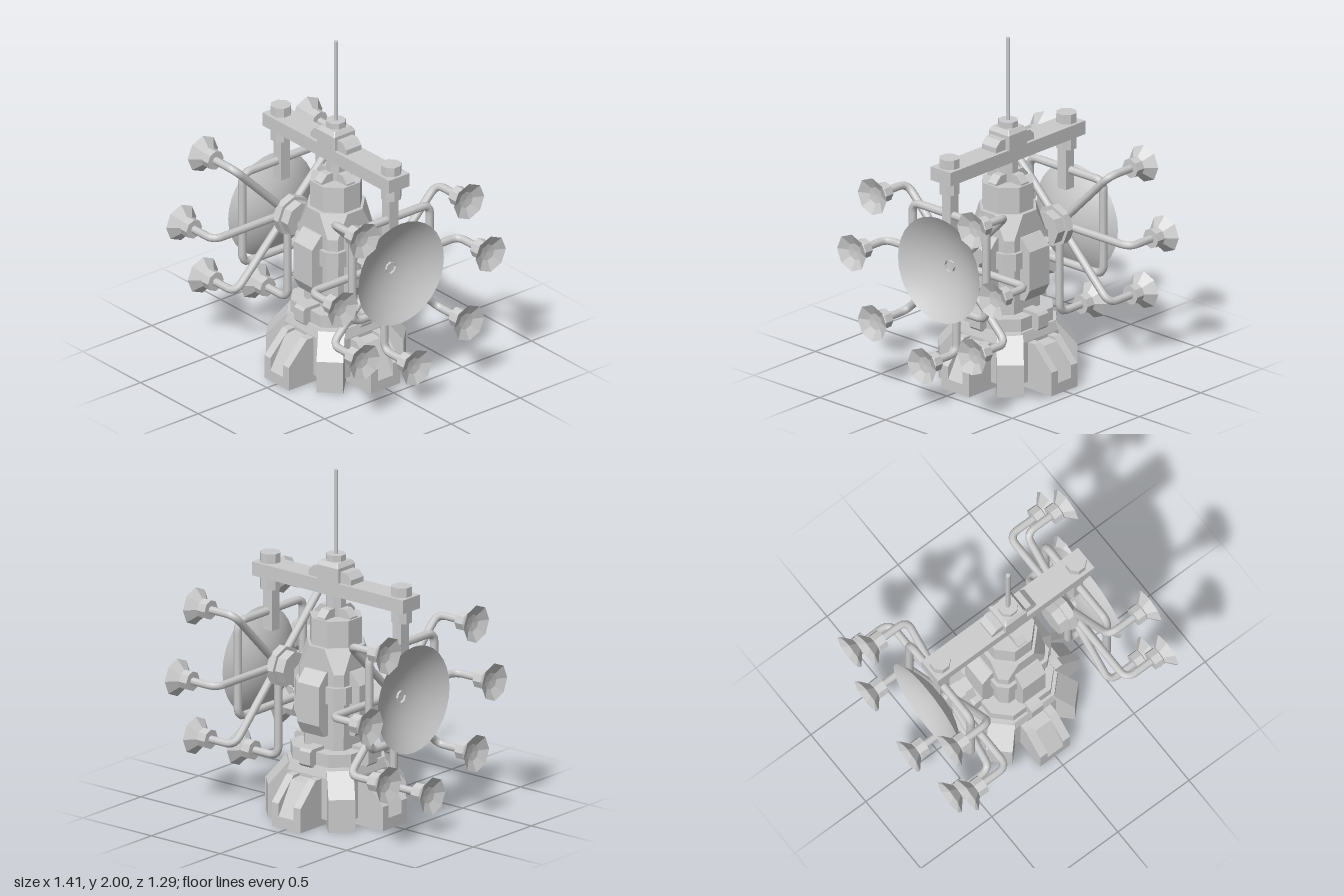
import * as THREE from 'three';

const flat = new THREE.MeshStandardMaterial({ color: 0xcccccc, flatShading: true, side: THREE.DoubleSide });
const smooth = new THREE.MeshStandardMaterial({ color: 0xcccccc, side: THREE.DoubleSide });
const V = (x, y, z) => new THREE.Vector3(x, y, z);

function add(parent, name, geometry, material = flat) {
  const mesh = new THREE.Mesh(geometry, material);
  mesh.name = name;
  parent.add(mesh);
  return mesh;
}

// Box given by its centre in x and z and its bottom and top
function box(parent, name, w, y0, y1, d, x = 0, z = 0) {
  return add(parent, name, new THREE.BoxGeometry(w, y1 - y0, d).translate(x, (y0 + y1) / 2, z));
}

// Upright octagonal drum with flats facing the axes
function drum(parent, name, r, y0, y1, x = 0, sides = 8) {
  const g = new THREE.CylinderGeometry(r, r, y1 - y0, sides).rotateY(Math.PI / sides);
  return add(parent, name, g.translate(x, (y0 + y1) / 2, 0));
}

// Side profile of [radius, height] points, extruded to a width and turned about y
function radial(parent, name, points, width, angle, offset = 0) {
  const shape = new THREE.Shape(points.map(p => new THREE.Vector2(p[0], p[1])));
  const g = new THREE.ExtrudeGeometry(shape, { depth: width, bevelEnabled: false });
  return add(parent, name, g.translate(0, 0, offset - width / 2).rotateY(angle));
}

// Stack of chamfered squares, each [height, half width, corner cut]
function chamferLoft(sections) {
  const rings = sections.map(([y, h, c]) => {
    const e = h - c;
    return [[h, -e], [h, e], [e, h], [-e, h], [-h, e], [-h, -e], [-e, -h], [e, -h]].map(p => V(p[0], y, p[1]));
  });
  const pts = [];
  const last = rings.length - 1;
  for (let j = 0; j < 8; j++) {
    const k = (j + 1) % 8;
    for (let i = 0; i < last; i++) {
      const a = rings[i][j], b = rings[i][k], c = rings[i + 1][j], d = rings[i + 1][k];
      pts.push(a, c, b, b, c, d);
    }
    pts.push(V(0, sections[0][0], 0), rings[0][j], rings[0][k]);
    pts.push(V(0, sections[last][0], 0), rings[last][k], rings[last][j]);
  }
  const g = new THREE.BufferGeometry().setFromPoints(pts);
  g.computeVertexNormals();
  return g;
}

// Polyline with rounded corners
function roundedPath(points, r, closed = false) {
  const path = new THREE.CurvePath();
  const n = points.length;
  const toward = (a, b) => a.clone().add(b.clone().sub(a).setLength(r));
  let from = closed ? toward(points[0], points[1]) : points[0];
  for (let i = 1; i < (closed ? n + 1 : n - 1); i++) {
    const p = points[i % n];
    const before = toward(p, points[(i - 1) % n]);
    const after = toward(p, points[(i + 1) % n]);
    path.add(new THREE.LineCurve3(from, before));
    path.add(new THREE.QuadraticBezierCurve3(before, p, after));
    from = after;
  }
  if (!closed) path.add(new THREE.LineCurve3(from, points[n - 1]));
  return path;
}

// Revolved [radius, x] profile around the x axis
function turned(points, sides) {
  return new THREE.LatheGeometry(points.map(p => new THREE.Vector2(p[0], p[1])), sides).rotateZ(-Math.PI / 2);
}

// One side array: hub, seven horn arms, dish and its frame (built on +x)
function sideArray() {
  const g = new THREE.Group();
  g.name = 'sideArray';
  const cy = 0.77;
  add(g, 'hubInner', turned([[0, 0.3], [0.1, 0.3], [0.1, 0.365], [0, 0.365]], 8)).position.y = cy;
  add(g, 'hubOuter', turned([[0, 0.36], [0.12, 0.36], [0.12, 0.41], [0.07, 0.44], [0, 0.44]], 8)).position.y = cy;
  add(g, 'dishAxle', turned([[0.035, 0.42], [0.035, 0.48]], 8)).position.y = cy;

  // Arms at every eighth of a turn except straight up
  for (let i = 0; i < 8; i++) {
    if (i === 2) continue;
    const a = i * Math.PI / 4;
    const y = cy + 0.535 * Math.sin(a), z = 0.535 * Math.cos(a);
    const path = roundedPath([V(0.42, cy, 0), V(0.42, y, z), V(0.6, y, z)], 0.06);
    add(g, 'hornArm', new THREE.TubeGeometry(path, 32, 0.023, 8), smooth);
    const horn = [[0, 0.59], [0.057, 0.59], [0.057, 0.645], [0.05, 0.65], [0.11, 0.703], [0.05, 0.675], [0, 0.67]];
    add(g, 'horn', turned(horn, 8)).position.set(0, y, z);
  }

  // Concave dish
  const bowl = [];
  for (let i = 0; i <= 10; i++) bowl.push([0.31 * i / 10, 0.465 + 0.1 * (i / 10) ** 2]);
  add(g, 'dish', turned(bowl, 32), smooth).position.y = cy;

  // Rounded tube frame behind the dish
  const frame = [[0.48, -0.28], [0.48, 0.28], [-0.48, 0.28], [-0.48, -0.28]];
  const corners = frame.map(([s, z]) => V(0.478, 0.8 + Math.sign(s) * 0.28, z));
  add(g, 'dishFrame', new THREE.TubeGeometry(roundedPath(corners, 0.06, true), 96, 0.024, 8, true), smooth);

  // Hanging post
  drum(g, 'postCap', 0.06, 1.36, 1.42, 0.478);
  drum(g, 'postSocket', 0.06, 1.21, 1.29, 0.478);
  box(g, 'post', 0.065, 0.97, 1.22, 0.065, 0.47);
  return g;
}

export function createModel() {
  const model = new THREE.Group();
  model.name = 'antennaTower';

  // Base with eight feet
  add(model, 'baseCore', chamferLoft([[0.04, 0.25, 0.1], [0.28, 0.25, 0.1], [0.335, 0.235, 0.09]]));
  for (let i = 0; i < 4; i++) {
    const a = i * Math.PI / 2;
    const cheek = [[0.15, 0], [0.43, 0], [0.43, 0.14], [0.3, 0.275], [0.15, 0.275]];
    for (const s of [-1, 1]) radial(model, 'footCheek', cheek, 0.05, a, s * 0.08);
    radial(model, 'footChannel', [[0.15, 0], [0.43, 0], [0.43, 0.065], [0.32, 0.255], [0.15, 0.27]], 0.11, a);
    radial(model, 'cornerFoot', [[0.1, 0], [0.385, 0], [0.385, 0.19], [0.27, 0.325], [0.1, 0.325]], 0.15, a + Math.PI / 4);
  }

  // Waist ring with lugs
  add(model, 'waistRing', chamferLoft([[0.32, 0.22, 0.09], [0.41, 0.22, 0.09]]));
  add(model, 'neck', chamferLoft([[0.4, 0.145, 0.04], [0.51, 0.145, 0.04]]));
  for (let i = 0; i < 4; i++) {
    const a = i * Math.PI / 2;
    radial(model, 'waistLug', [[0.15, 0.325], [0.255, 0.325], [0.27, 0.34], [0.27, 0.415], [0.255, 0.43], [0.15, 0.43]], 0.08, a);
    // Bevelled body panels
    radial(model, 'bodyPanel', [[0.1, 0.5], [0.2, 0.5], [0.24, 0.57], [0.24, 0.8], [0.175, 0.87], [0.1, 0.87]], 0.16, a);
  }

  // Body
  add(model, 'body', chamferLoft([[0.5, 0.165, 0.04], [0.86, 0.165, 0.04], [1.0, 0.165, 0.11]]));
  add(model, 'bodyBand', chamferLoft([[0.69, 0.185, 0.05], [0.79, 0.185, 0.05]]));

  // Collar, ramps and column
  drum(model, 'collar', 0.152, 1.0, 1.155);
  for (let i = 0; i < 4; i++) {
    radial(model, 'collarRamp', [[0.03, 1.15], [0.13, 1.15], [0.13, 1.165], [0.09, 1.205], [0.03, 1.205]], 0.06, i * Math.PI / 2);
  }
  drum(model, 'column', 0.058, 1.15, 1.3);

  // Crossbar and antenna mount
  box(model, 'crossbar', 1.1, 1.285, 1.365, 0.15);
  radial(model, 'mountSaddle', [[-0.155, 1.36], [0.155, 1.36], [0.155, 1.395], [0.12, 1.43], [-0.12, 1.43], [-0.155, 1.395]], 0.11, 0);
  add(model, 'mountBlock', chamferLoft([[1.36, 0.078, 0.005], [1.45, 0.078, 0.005], [1.475, 0.06, 0.005]]));
  drum(model, 'mountCap', 0.058, 1.47, 1.51);
  drum(model, 'antenna', 0.013, 1.5, 2.0);

  // Left and right arrays
  for (const turn of [0, Math.PI]) {
    const side = sideArray();
    side.rotation.y = turn;
    model.add(side);
  }
  return model;
}
